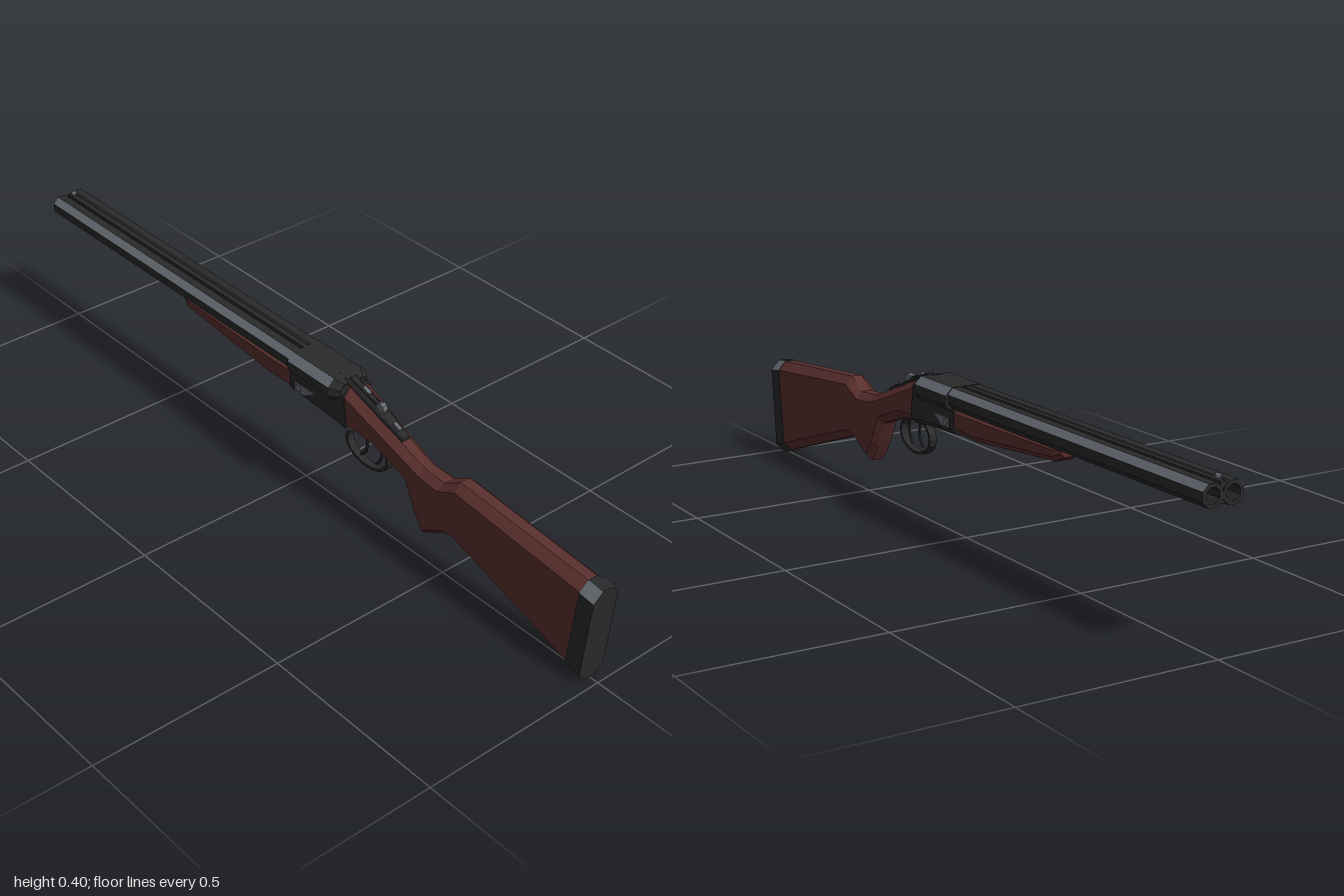
import * as THREE from 'three';

const mat = (name, color) => {
  const m = new THREE.MeshStandardMaterial({ color, flatShading: true });
  m.name = name;
  return m;
};

// Chamfered-rectangle loft. Each section: [zTop, yTop, zBottom, yBottom, halfWidth, chamfer], ordered from +z to -z.
// Upper chamfers of the segment numbered accentSegment go to a second material group.
function loft(sections, accentSegment = -1) {
  const rings = sections.map(([zt, yt, zb, yb, w, c]) => {
    const pts = [[w, yb + c], [w, yt - c], [w - c, yt], [c - w, yt], [-w, yt - c], [-w, yb + c], [c - w, yb], [w - c, yb]];
    return pts.map(([x, y]) => [x, y, zb + (zt - zb) * (y - yb) / (yt - yb)]);
  });
  const base = [], accent = [];
  const tri = (out, ...p) => p.forEach((v) => out.push(...v));
  const n = 8;
  for (let s = 0; s < rings.length - 1; s++) {
    const a = rings[s], b = rings[s + 1];
    for (let i = 0; i < n; i++) {
      const j = (i + 1) % n;
      const out = s === accentSegment && (i === 1 || i === 3) ? accent : base;
      tri(out, a[i], b[i], a[j]);
      tri(out, b[i], b[j], a[j]);
    }
  }
  const first = rings[0], last = rings[rings.length - 1];
  for (let i = 1; i < n - 1; i++) {
    tri(base, first[0], first[i], first[i + 1]);
    tri(base, last[0], last[i + 1], last[i]);
  }
  const g = new THREE.BufferGeometry();
  g.setAttribute('position', new THREE.Float32BufferAttribute([...base, ...accent], 3));
  g.addGroup(0, base.length / 3, 0);
  if (accent.length) g.addGroup(base.length / 3, accent.length / 3, 1);
  g.computeVertexNormals();
  return g;
}

// Extrudes a (z, y) outline across x, centred on x
function sideExtrude(shape, width, x = 0) {
  const g = new THREE.ExtrudeGeometry(shape, { depth: width, bevelEnabled: false, curveSegments: 10 });
  return g.rotateY(-Math.PI / 2).translate(x + width / 2, 0, 0);
}

const polygon = (r, sides, Kind) => new Kind(Array.from({ length: sides }, (_, i) => {
  const a = (i + 0.5) / sides * Math.PI * 2;
  return new THREE.Vector2(r * Math.cos(a), r * Math.sin(a));
}));

export function createModel() {
  const root = new THREE.Group();
  root.name = 'doubleBarrelGun';
  const wood = mat('darkWood', 0x5a302e);
  const metal = mat('blackMetal', 0x2a2a2b);
  const steel = mat('greySteel', 0x666b73);
  const add = (name, geometry, material) => {
    const m = new THREE.Mesh(geometry, material);
    m.name = name;
    root.add(m);
    return m;
  };

  // Butt pad with steel upper corners, and shaped wooden stock with pistol grip
  add('buttPad', loft([
    [1.0, 0.265, 0.975, 0.0, 0.038, 0.025],
    [0.957, 0.271, 0.93, 0.014, 0.038, 0.025],
  ], 0), [metal, steel]);
  add('stock', loft([
    [0.957, 0.269, 0.93, 0.017, 0.036, 0.023],
    [0.56, 0.303, 0.56, 0.139, 0.034, 0.02],
    [0.545, 0.294, 0.52, 0.135, 0.034, 0.02],
    [0.507, 0.272, 0.45, 0.097, 0.033, 0.018],
    [0.437, 0.277, 0.425, 0.14, 0.031, 0.018],
    [0.4, 0.289, 0.39, 0.21, 0.031, 0.018],
    [0.29, 0.331, 0.285, 0.249, 0.035, 0.02],
    [0.18, 0.372, 0.195, 0.258, 0.041, 0.02],
  ]), wood);

  // Receiver body and the wider block around the breech
  add('receiver', loft([
    [0.185, 0.37, 0.2, 0.255, 0.043, 0.014],
    [0.15, 0.375, 0.15, 0.26, 0.043, 0.014],
    [-0.01, 0.375, -0.01, 0.268, 0.043, 0.014],
  ]), metal);
  add('breechBlock', loft([
    [0.175, 0.376, 0.175, 0.332, 0.042, 0.014],
    [0.15, 0.386, 0.15, 0.324, 0.059, 0.019],
    [0.0, 0.386, 0.0, 0.324, 0.059, 0.019],
  ], 1), [metal, steel]);

  // Side plates with a round pin
  for (const s of [-1, 1]) {
    const plate = new THREE.Shape([[0.085, 0.308], [0.01, 0.308], [0.01, 0.283], [0.045, 0.283]]
      .map(([z, y]) => new THREE.Vector2(z, y)));
    add('sidePlate', sideExtrude(plate, 0.005, s * 0.0425), steel);
    add('sidePin', new THREE.CylinderGeometry(0.01, 0.01, 0.005, 8)
      .rotateZ(Math.PI / 2).translate(s * 0.0445, 0.296, 0.025), steel);
  }

  // Two octagonal barrels with open bores and a steel strip on the outer upper facet
  const radius = 0.0285;
  const facet = radius * Math.cos(Math.PI / 8) * Math.SQRT1_2;
  for (const s of [-1, 1]) {
    const outline = polygon(radius, 8, THREE.Shape);
    outline.holes.push(polygon(0.019, 8, THREE.Path));
    add('barrel', new THREE.ExtrudeGeometry(outline, { depth: 1.05, bevelEnabled: false })
      .translate(s * 0.0265, 0.358, -1), metal);
    add('barrelFacet', new THREE.BoxGeometry(0.0215, 0.0015, 1)
      .rotateZ(-s * Math.PI / 4).translate(s * (0.0265 + facet), 0.358 + facet, -0.5), steel);
  }

  // Ribs joining the barrels, and the bead sight
  const box = (w, h, d, x, y, z) => new THREE.BoxGeometry(w, h, d).translate(x, y, z);
  add('topRib', box(0.014, 0.016, 1.14, 0, 0.377, -0.428), metal);
  add('bottomRib', box(0.02, 0.012, 0.99, 0, 0.342, -0.5), metal);
  add('sightPost', new THREE.CylinderGeometry(0.004, 0.004, 0.012, 6).translate(0, 0.388, -0.98), steel);
  add('sightBead', new THREE.IcosahedronGeometry(0.007, 1).translate(0, 0.392, -0.98), steel);

  // Tapered wooden fore-end under the barrels
  add('foreEnd', loft([
    [-0.01, 0.34, -0.01, 0.27, 0.041, 0.016],
    [-0.1, 0.34, -0.1, 0.269, 0.041, 0.016],
    [-0.43, 0.34, -0.425, 0.296, 0.036, 0.014],
    [-0.452, 0.338, -0.45, 0.31, 0.026, 0.01],
  ]), wood);

  // Top tang and opening lever
  add('tang', loft([
    [0.36, 0.312, 0.36, 0.295, 0.012, 0.003],
    [0.3, 0.336, 0.3, 0.315, 0.016, 0.003],
    [0.18, 0.379, 0.18, 0.35, 0.018, 0.004],
    [0.14, 0.387, 0.14, 0.36, 0.018, 0.004],
  ]), metal);
  add('leverArm', loft([
    [0.285, 0.352, 0.285, 0.336, 0.005, 0.002],
    [0.23, 0.368, 0.23, 0.35, 0.007, 0.002],
    [0.17, 0.386, 0.17, 0.37, 0.009, 0.002],
  ]), metal);
  add('leverThumbPiece', new THREE.CylinderGeometry(0.014, 0.014, 0.014, 8)
    .rotateZ(Math.PI / 2).translate(0, 0.35, 0.275), steel);

  // Steel safety catch and lever inlay, both lying along the sloping tang
  for (const [name, y, z] of [['safetyCatch', 0.326, 0.33], ['leverInlay', 0.371, 0.222]]) {
    const piece = add(name, new THREE.BoxGeometry(0.01, 0.008, 0.024), steel);
    piece.position.set(0, y, z);
    piece.rotation.x = 0.35;
  }

  // Trigger guard loop
  const guard = new THREE.Shape().absellipse(0.235, 0.213, 0.076, 0.05, 0, Math.PI * 2);
  guard.holes.push(new THREE.Path().absellipse(0.235, 0.213, 0.069, 0.043, 0, Math.PI * 2));
  add('triggerGuard', sideExtrude(guard, 0.02), metal);

  // Two curved triggers
  for (const z of [0.268, 0.216]) {
    const path = new THREE.CatmullRomCurve3([[0.258, 0.0], [0.225, 0.012], [0.198, 0.006], [0.182, -0.008]]
      .map(([y, dz]) => new THREE.Vector3(0, y, z + dz)));
    add('trigger', new THREE.TubeGeometry(path, 8, 0.004, 6), metal);
  }

  return root;
}
